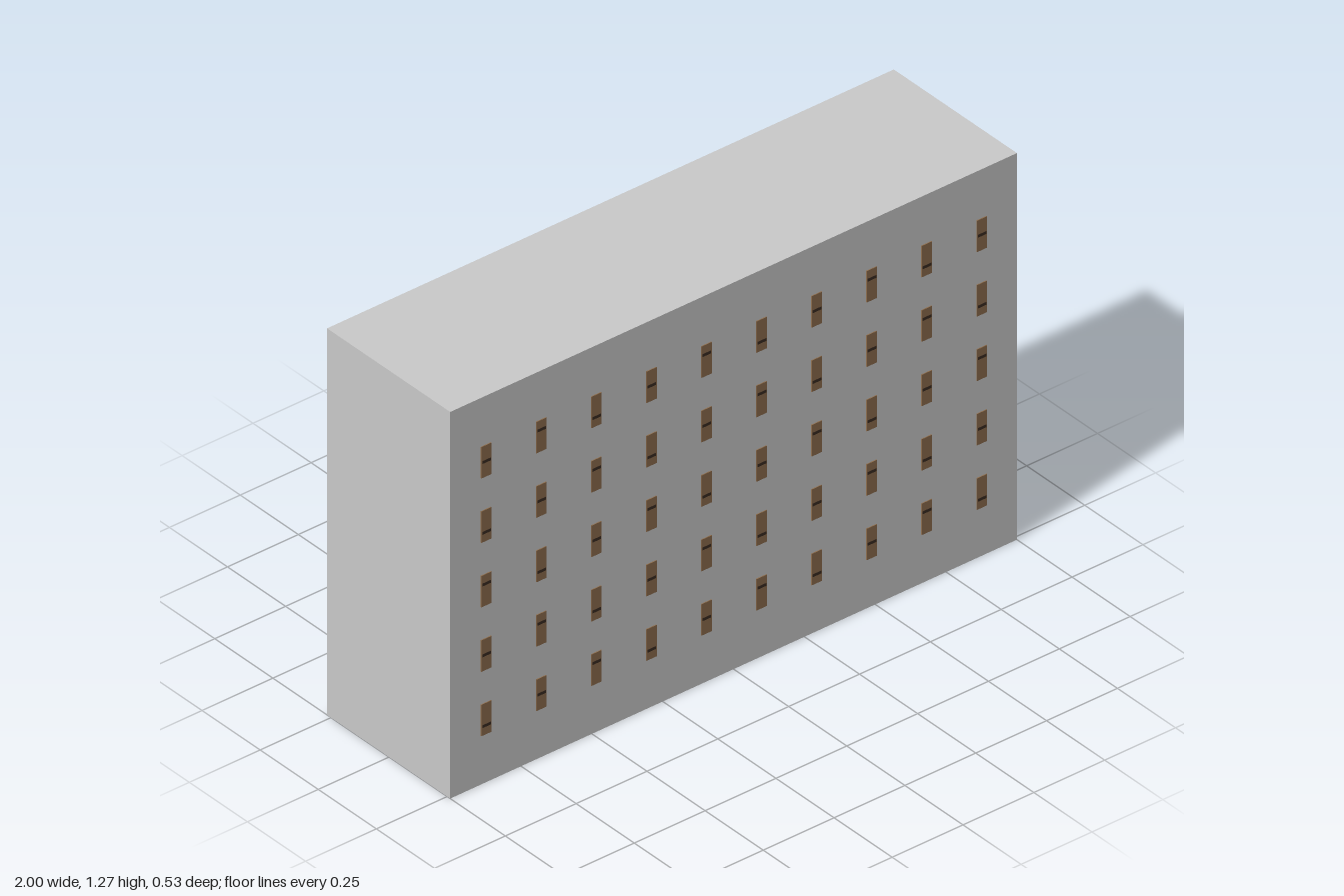
import * as THREE from 'three';

const W = 2, H = 1.27, BACK = -0.267, FRONT = 0.263;
const COLS = 10, ROWS = 5;

const paint = (name, color) => {
  const m = new THREE.MeshStandardMaterial({ color });
  m.name = name;
  return m;
};

export function createModel() {
  const grey = paint('light grey wall', 0xcacaca);
  const darkBrown = paint('dark brown', 0x3a2b21);
  const brown = paint('mid brown', 0x8d6d4d);

  const model = new THREE.Group();
  model.name = 'wallBlock';

  const add = (name, geometry, material, x, y, z, parent = model) => {
    const mesh = new THREE.Mesh(geometry, material);
    mesh.name = name;
    mesh.position.set(x, y, z);
    parent.add(mesh);
  };

  // Main block: grey front, top and sides; brown underside and back
  add('body', new THREE.BoxGeometry(W, H, FRONT - BACK),
    [grey, grey, grey, darkBrown, grey, darkBrown], 0, H / 2, (FRONT + BACK) / 2);

  // Grid of small upright plates, each crossed by a dark bar at one of three heights
  const plate = new THREE.BoxGeometry(0.036, 0.103, 0.004);
  const bar = new THREE.BoxGeometry(0.03, 0.009, 0.003);
  const barOffsets = [0, 0.021, -0.021];
  for (let r = 0; r < ROWS; r++) {
    for (let c = 0; c < COLS; c++) {
      const unit = new THREE.Group();
      unit.name = 'wallPlate';
      unit.position.set((c - (COLS - 1) / 2) * 0.1943, H * (ROWS - r) / (ROWS + 1), FRONT);
      add('plate', plate, brown, 0, 0, 0.001, unit);
      add('crossBar', bar, darkBrown, 0, barOffsets[(c + 2 * r) % 3], 0.0025, unit);
      model.add(unit);
    }
  }
  return model;
}
